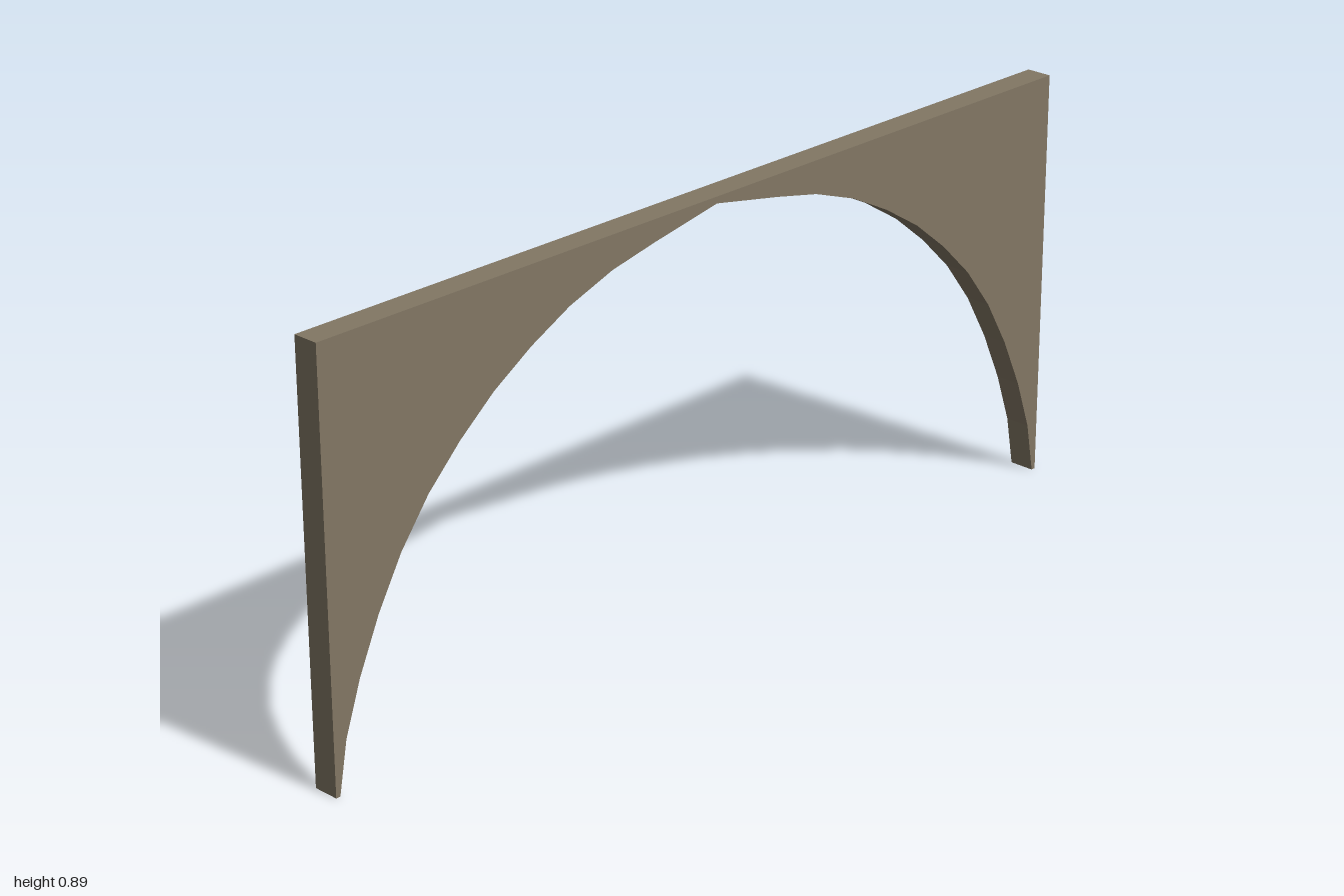
import * as THREE from 'three';

export function createModel() {
  const group = new THREE.Group();
  group.name = 'archPanel';

  const stone = new THREE.MeshStandardMaterial({ color: 0x827764 });
  stone.name = 'weathered stone';

  const height = 0.893;
  const thickness = 0.056;

  // Half of the faceted arch edge, from the foot to the pointed crown
  const halfArch = [
    [0.99, 0], [0.97, 0.11], [0.932, 0.22], [0.882, 0.33], [0.823, 0.433],
    [0.753, 0.525], [0.673, 0.604], [0.587, 0.674], [0.491, 0.734],
    [0.392, 0.784], [0.281, 0.823], [0.169, 0.847], [0, 0.879],
  ];
  const mirrored = halfArch.slice(0, -1).reverse().map(([z, y]) => [-z, y]);

  // Flat-topped spandrel outline with the arch cut from below
  const outline = [
    ...halfArch, ...mirrored,
    [-1, 0], [-1, height], [1, height], [1, 0],
  ].map(([z, y]) => new THREE.Vector2(z, y));

  const geometry = new THREE.ExtrudeGeometry(new THREE.Shape(outline), {
    depth: thickness,
    bevelEnabled: false,
  });
  geometry.translate(0, 0, -thickness / 2);
  geometry.rotateY(Math.PI / 2);

  const arch = new THREE.Mesh(geometry, stone);
  arch.name = 'archSpandrel';
  group.add(arch);

  return group;
}
